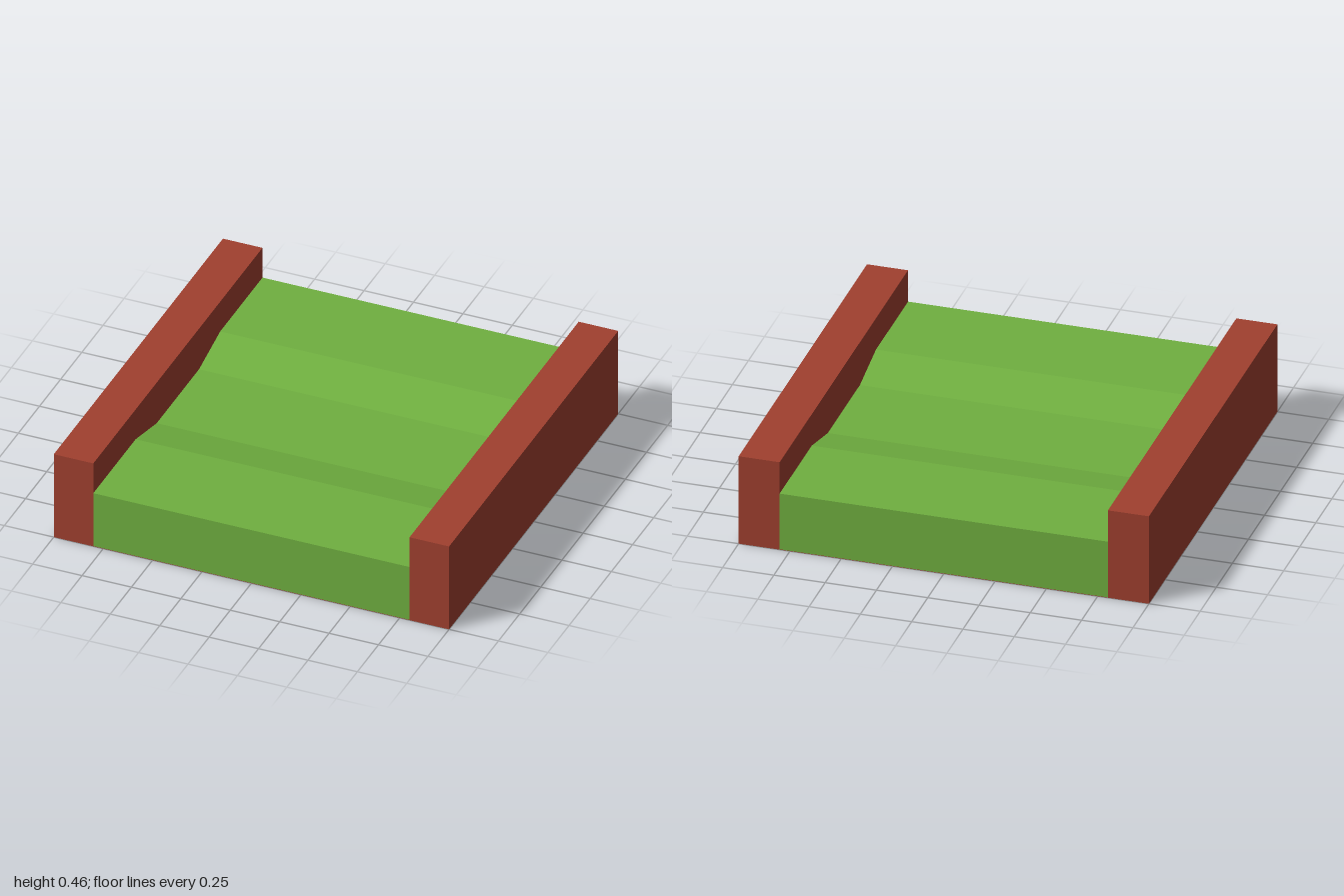
import * as THREE from 'three';

const BRICK = 0xa0402f;
const GRASS = 0x70b040;

const LENGTH = 2;
const WALL_WIDTH = 0.2;
const WALL_HEIGHT = 0.46;
const LAWN_WIDTH = 1.6;
const LAWN_HEIGHT = 0.295;
const DIP_HEIGHT = 0.235;
const BASE_HEIGHT = 0.002;

export function createModel() {
  const model = new THREE.Group();
  model.name = 'dippedLane';

  const brick = new THREE.MeshStandardMaterial({ color: BRICK, flatShading: true });
  const grass = new THREE.MeshStandardMaterial({ color: GRASS, flatShading: true });

  const add = (name, geometry, material, x, y) => {
    const mesh = new THREE.Mesh(geometry, material);
    mesh.name = name;
    mesh.position.set(x, y, 0);
    model.add(mesh);
  };

  // Side walls, mirrored
  for (const [name, side] of [['leftWall', 1], ['rightWall', -1]]) {
    const wall = new THREE.BoxGeometry(WALL_WIDTH, WALL_HEIGHT, LENGTH);
    add(name, wall, brick, side * (1 - WALL_WIDTH / 2), WALL_HEIGHT / 2);
  }

  // Thin underside between the walls
  add('base', new THREE.BoxGeometry(LAWN_WIDTH, BASE_HEIGHT, LENGTH), brick, 0, BASE_HEIGHT / 2);

  // Lawn: a lengthwise profile with a shallow trough, extruded across the lane
  const profile = new THREE.Shape([
    [-1, BASE_HEIGHT], [1, BASE_HEIGHT], [1, LAWN_HEIGHT],
    [0.5, LAWN_HEIGHT], [0.25, DIP_HEIGHT], [-0.25, DIP_HEIGHT], [-0.5, LAWN_HEIGHT],
    [-1, LAWN_HEIGHT],
  ].map(([z, y]) => new THREE.Vector2(z, y)));
  const lawn = new THREE.ExtrudeGeometry(profile, { depth: LAWN_WIDTH, bevelEnabled: false });
  lawn.translate(0, 0, -LAWN_WIDTH / 2).rotateY(Math.PI / 2);
  add('lawn', lawn, grass, 0, 0);

  return model;
}
